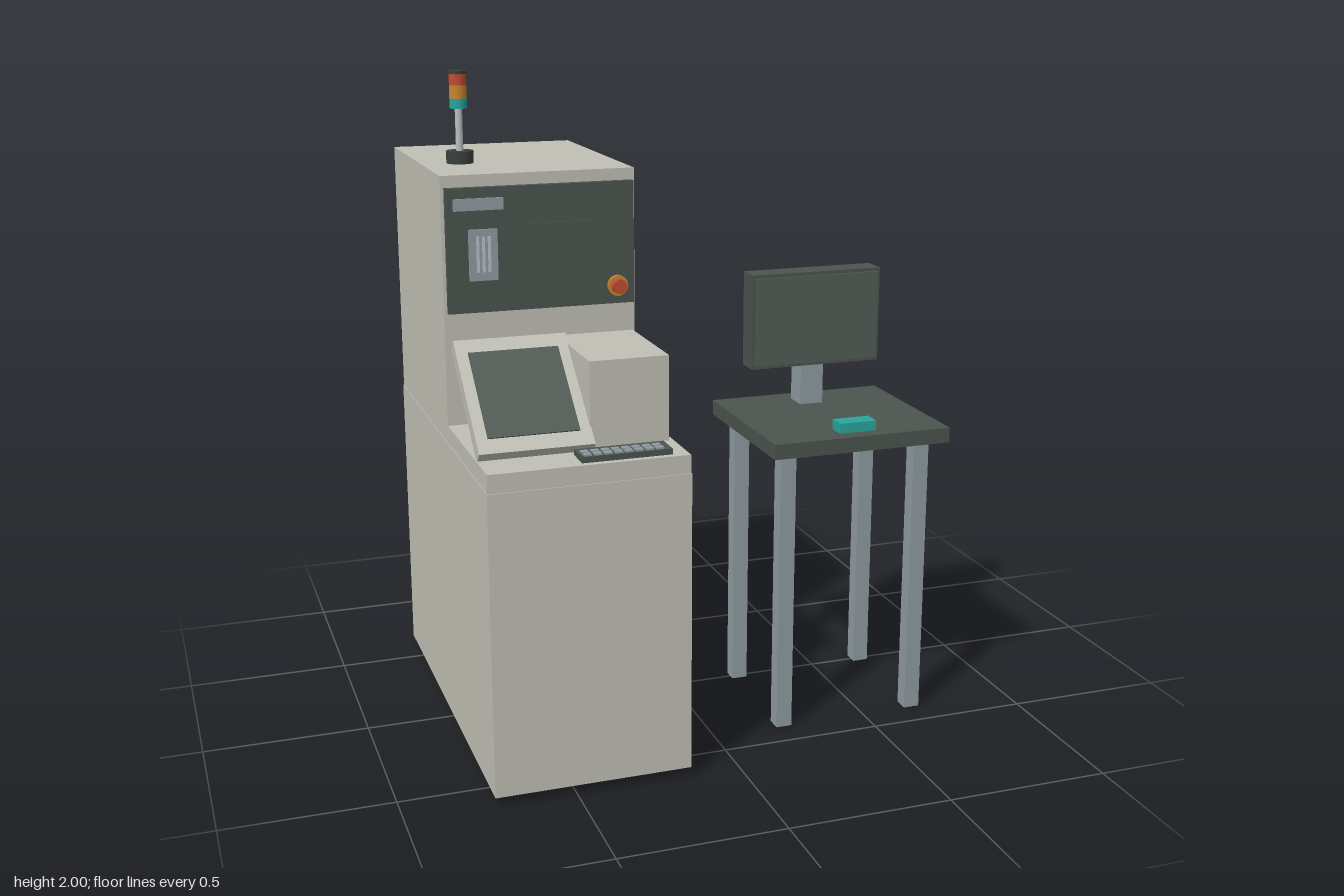
import * as THREE from 'three';

const mat = (name, color) => {
  const m = new THREE.MeshStandardMaterial({ color });
  m.name = name;
  return m;
};

export function createModel() {
  const body = mat('warm grey paint', 0xbfbfb5);
  const dark = mat('dark green grey', 0x4b544e);
  const screenMat = mat('screen grey', 0x525c56);
  const metal = mat('blue grey metal', 0x8f9ba0);
  const pale = mat('pale metal', 0xb8c0c2);
  const rubber = mat('black rubber', 0x3a3f3d);
  const teal = mat('teal', 0x2aa59e);
  const amber = mat('amber', 0xc8862f);
  const red = mat('red', 0xc04c30);

  const root = new THREE.Group();
  root.name = 'inspectionStation';
  const group = (name, parent = root) => {
    const g = new THREE.Group();
    g.name = name;
    parent.add(g);
    return g;
  };
  // Box given by its limits on each axis
  const box = (parent, name, m, [x0, x1], [y0, y1], [z0, z1]) => {
    const mesh = new THREE.Mesh(new THREE.BoxGeometry(x1 - x0, y1 - y0, z1 - z0), m);
    mesh.position.set((x0 + x1) / 2, (y0 + y1) / 2, (z0 + z1) / 2);
    mesh.name = name;
    parent.add(mesh);
    return mesh;
  };
  // Upright cylinder between two heights
  const cyl = (parent, name, m, r, x, z, y0, y1) => {
    const mesh = new THREE.Mesh(new THREE.CylinderGeometry(r, r, y1 - y0, 24), m);
    mesh.position.set(x, (y0 + y1) / 2, z);
    mesh.name = name;
    parent.add(mesh);
    return mesh;
  };

  // Cabinet
  const cabinet = group('cabinet');
  box(cabinet, 'lowerBody', body, [-0.74, -0.152], [0.027, 0.93], [-0.62, 0.62]);
  box(cabinet, 'deck', body, [-0.738, -0.154], [0.93, 0.985], [0.11, 0.617]);
  box(cabinet, 'upperBody', body, [-0.738, -0.157], [0.93, 1.725], [-0.617, 0.11]);
  for (const x of [-0.655, -0.24])
    for (const z of [-0.52, 0.52]) cyl(cabinet, 'foot', rubber, 0.036, x, z, 0, 0.027);

  // Control panel on the upper body
  const panel = group('controlPanel');
  box(panel, 'panelPlate', dark, [-0.728, -0.165], [1.325, 1.69], [0.11, 0.132]);
  box(panel, 'namePlate', metal, [-0.707, -0.56], [1.625, 1.66], [0.132, 0.138]);
  box(panel, 'raisedDoor', dark, [-0.49, -0.285], [1.4, 1.58], [0.132, 0.138]);
  box(panel, 'ventPlate', metal, [-0.665, -0.58], [1.42, 1.57], [0.132, 0.14]);
  for (let i = -1; i <= 1; i++) {
    const x = -0.6225 + i * 0.017;
    box(panel, 'ventSlat', pale, [x - 0.004, x + 0.004], [1.445, 1.55], [0.14, 0.145]);
  }
  const stop = group('emergencyStop', panel);
  stop.position.set(-0.218, 1.38, 0.132);
  stop.rotation.x = Math.PI / 2;
  cyl(stop, 'stopCollar', amber, 0.031, 0, 0, 0, 0.012);
  cyl(stop, 'stopButton', red, 0.022, 0, 0, 0.012, 0.033);

  // Signal tower
  const tower = group('signalTower');
  const [tx, tz] = [-0.62, -0.16];
  cyl(tower, 'towerBase', rubber, 0.041, tx, tz, 1.725, 1.762);
  cyl(tower, 'towerPole', pale, 0.011, tx, tz, 1.762, 1.89);
  cyl(tower, 'tealLamp', teal, 0.026, tx, tz, 1.888, 1.918);
  cyl(tower, 'amberLamp', amber, 0.026, tx, tz, 1.918, 1.957);
  cyl(tower, 'redLamp', red, 0.026, tx, tz, 1.957, 1.99);
  cyl(tower, 'towerCap', rubber, 0.027, tx, tz, 1.99, 2);

  // Tilted console screen: local z points out of the screen
  const consoleScreen = group('consoleScreen');
  consoleScreen.position.set(-0.567, 1.137, 0.357);
  consoleScreen.rotation.x = -0.875;
  box(consoleScreen, 'bezel', body, [-0.167, 0.167], [-0.198, 0.198], [-0.045, 0]);
  box(consoleScreen, 'display', screenMat, [-0.133, 0.133], [-0.149, 0.149], [0, 0.004]);

  // Housing beside the console
  box(root, 'sideHousing', body, [-0.403, -0.167], [0.985, 1.237], [0.12, 0.463]);

  // Keyboard
  const keyboard = group('keyboard');
  box(keyboard, 'keyboardBase', dark, [-0.465, -0.202], [0.985, 1.002], [0.515, 0.597]);
  for (let c = 0; c < 8; c++)
    for (const z of [0.554, 0.581]) {
      const x = -0.446 + c * 0.03;
      box(keyboard, 'key', metal, [x - 0.011, x + 0.011], [1.002, 1.007], [z - 0.01, z + 0.01]);
    }

  // Side table
  const table = group('table');
  box(table, 'tableTop', dark, [0.165, 0.738], [0.89, 0.937], [-0.075, 0.458]);
  for (const x of [0.23, 0.67])
    for (const z of [-0.003, 0.383])
      box(table, 'tableLeg', metal, [x - 0.025, x + 0.025], [0, 0.89], [z - 0.024, z + 0.024]);

  // Desk monitor and pointing device
  const monitor = group('monitor');
  box(monitor, 'monitorPost', metal, [0.412, 0.488], [0.937, 1.235], [-0.014, 0.063]);
  box(monitor, 'monitorCase', dark, [0.236, 0.667], [1.07, 1.37], [0.006, 0.085]);
  box(monitor, 'monitorDisplay', screenMat, [0.246, 0.657], [1.081, 1.359], [0.085, 0.092]);
  box(root, 'mouse', teal, [0.394, 0.512], [0.937, 0.968], [0.355, 0.412]);

  return root;
}
